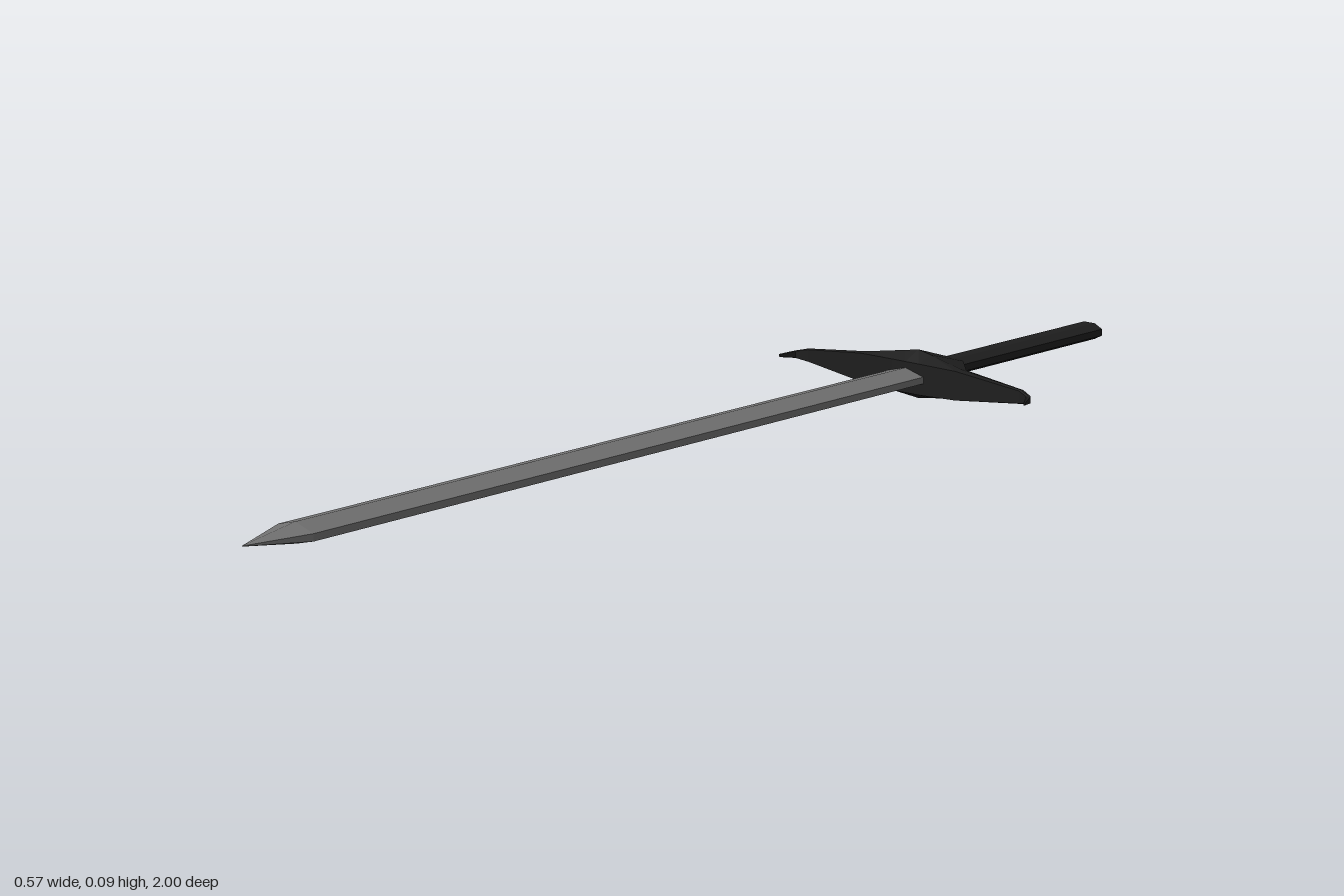
import * as THREE from 'three';

// Skin a list of closed rings (counterclockwise seen from the far end) with capped ends
function loft(rings) {
  const pos = [];
  const tri = (a, b, c) => pos.push(...a, ...b, ...c);
  const n = rings[0].length;
  for (let r = 0; r < rings.length - 1; r++) {
    const a = rings[r], b = rings[r + 1];
    for (let i = 0; i < n; i++) {
      const j = (i + 1) % n;
      tri(a[i], a[j], b[j]);
      tri(a[i], b[j], b[i]);
    }
  }
  const first = rings[0], last = rings[rings.length - 1];
  for (let i = 1; i < n - 1; i++) {
    tri(first[0], first[i + 1], first[i]);
    tri(last[0], last[i], last[i + 1]);
  }
  const geometry = new THREE.BufferGeometry();
  geometry.setAttribute('position', new THREE.Float32BufferAttribute(pos, 3));
  geometry.computeVertexNormals();
  return geometry;
}

function part(name, geometry, material) {
  const mesh = new THREE.Mesh(geometry, material);
  mesh.name = name;
  return mesh;
}

export function createModel() {
  const steel = new THREE.MeshStandardMaterial({ color: 0x707070, flatShading: true });
  const dark = new THREE.MeshStandardMaterial({ color: 0x1e1e1e, flatShading: true });
  const sword = new THREE.Group();
  sword.name = 'sword';

  // Blade: six-sided section with a central ridge, narrowing to a point
  const bladeRing = (z, w, edge, ridge) => [
    [w, -edge, z], [w, edge, z], [0, ridge, z],
    [-w, edge, z], [-w, -edge, z], [0, -ridge, z],
  ];
  sword.add(part('blade', loft([
    bladeRing(-0.5, 0.041, 0.006, 0.017),
    bladeRing(0.9, 0.041, 0.006, 0.017),
    bladeRing(1, 0.0005, 0.0005, 0.0005),
  ]), steel));

  // Grip: flattened octagonal bar
  const grip = new THREE.CylinderGeometry(1, 1, 0.44, 8);
  grip.rotateY(Math.PI / 8).rotateX(Math.PI / 2);
  grip.scale(0.03 / Math.cos(Math.PI / 8), 0.015 / Math.cos(Math.PI / 8), 1);
  grip.translate(0, 0, -0.78);
  sword.add(part('grip', grip, dark));

  // Crossguard: each station gives x, z and half height for front, peak and back edges
  const stations = [
    [0, -0.475, 0.028, 0, -0.51, 0.044, 0, -0.6, 0.015],
    [0.03, -0.475, 0.028, 0.03, -0.508, 0.039, 0.03, -0.597, 0.013],
    [0.11, -0.48, 0.026, 0.11, -0.495, 0.027, 0.11, -0.51, 0.023],
    [0.245, -0.488, 0.011, 0.246, -0.492, 0.0125, 0.247, -0.498, 0.011],
    [0.268, -0.48, 0.006, 0.27, -0.482, 0.007, 0.273, -0.486, 0.006],
    [0.282, -0.455, 0.002, 0.284, -0.455, 0.003, 0.286, -0.455, 0.002],
  ];
  const guardRing = ([xf, zf, hf, xp, zp, hp, xb, zb, hb], side) => [
    [side * xp, hp, zp], [side * xf, hf, zf], [side * xf, -hf, zf],
    [side * xp, -hp, zp], [side * xb, -hb, zb], [side * xb, hb, zb],
  ];
  sword.add(part('crossguard', loft([
    ...stations.slice(1).reverse().map((s) => guardRing(s, -1)),
    ...stations.map((s) => guardRing(s, 1)),
  ]), dark));

  // Resting pose: blade tip dips toward the ground
  sword.rotation.x = 0.012;
  sword.position.y = 0.0386;

  const model = new THREE.Group();
  model.add(sword);
  return model;
}
